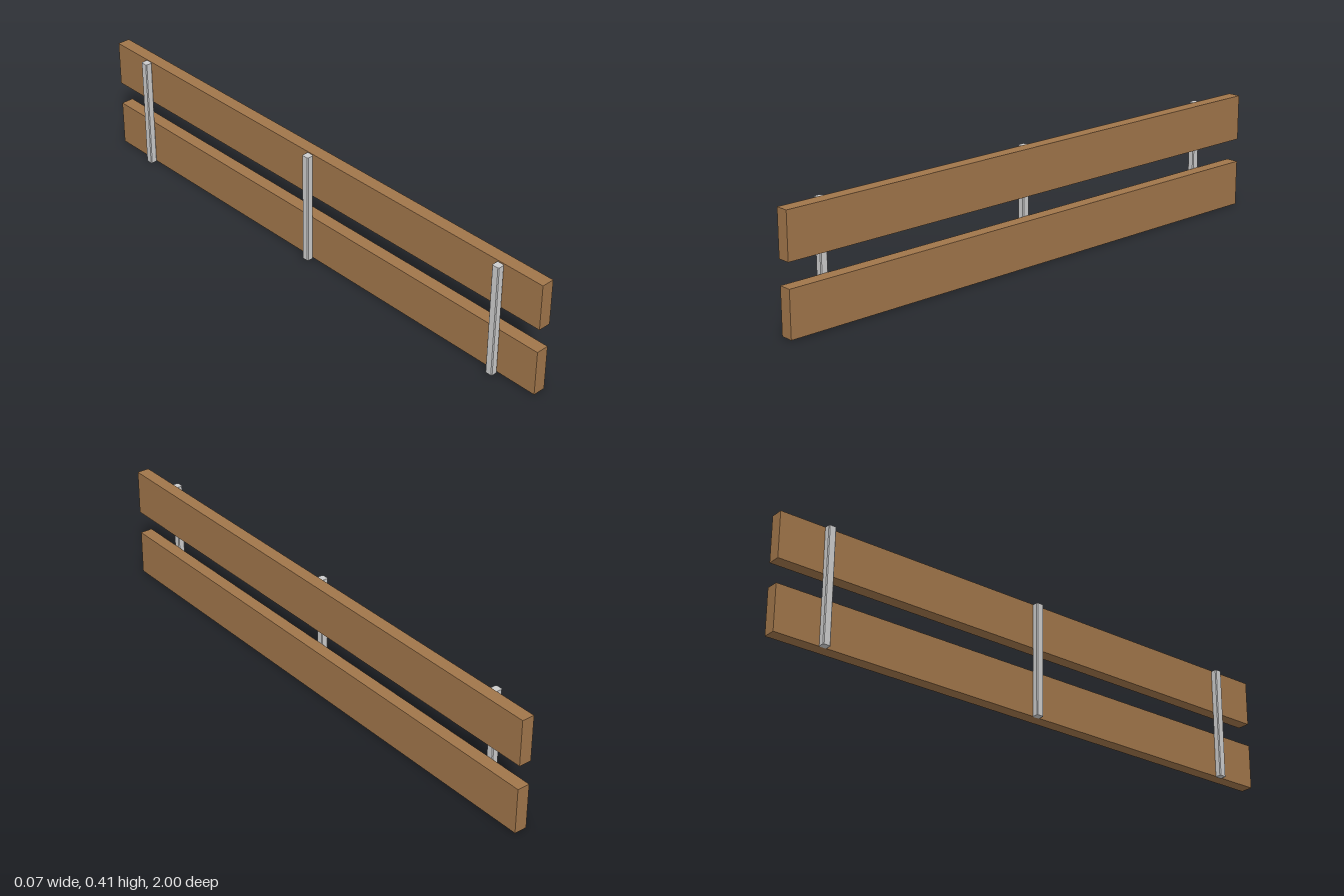
import * as THREE from 'three';

const wood = new THREE.MeshStandardMaterial({ color: 0xa0754a });
const metal = new THREE.MeshStandardMaterial({ color: 0xcccccc, flatShading: true });

// Upright bar with small chamfers along its four vertical edges
function postGeometry(width, depth, height, c) {
  const x = width / 2, y = depth / 2;
  const shape = new THREE.Shape([
    [-x + c, -y], [x - c, -y], [x, -y + c], [x, y - c],
    [x - c, y], [-x + c, y], [-x, y - c], [-x, -y + c],
  ].map(([a, b]) => new THREE.Vector2(a, b)));
  const geometry = new THREE.ExtrudeGeometry(shape, { depth: height, bevelEnabled: false });
  return geometry.rotateX(-Math.PI / 2);
}

export function createModel() {
  const model = new THREE.Group();
  model.name = 'plankRail';

  // Two long planks, one above the other, with a very slight slope
  const plankGeometry = new THREE.BoxGeometry(0.045, 0.161, 2);
  [['lowerPlank', 0.082], ['upperPlank', 0.327]].forEach(([name, y]) => {
    const plank = new THREE.Mesh(plankGeometry, wood);
    plank.name = name;
    plank.position.set(0.0125, y, 0);
    plank.rotation.x = -0.0013;
    model.add(plank);
  });

  // Three posts fixed against one side of the planks
  const post = postGeometry(0.025, 0.027, 0.404, 0.003);
  [['backPost', -0.826], ['middlePost', 0.004], ['frontPost', 0.835]].forEach(([name, z]) => {
    const mesh = new THREE.Mesh(post, metal);
    mesh.name = name;
    mesh.position.set(-0.0225, 0, z);
    model.add(mesh);
  });

  return model;
}
